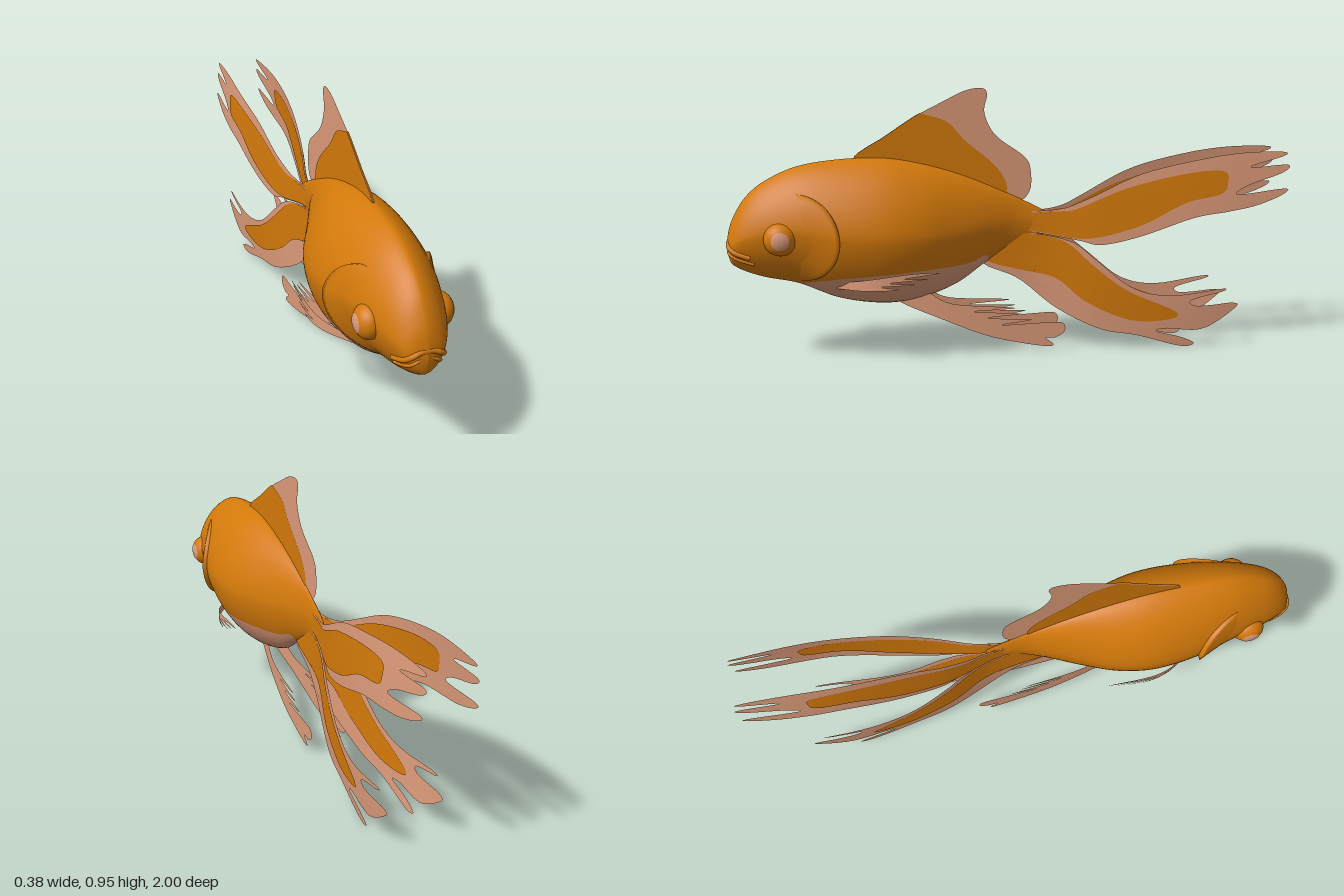
import * as THREE from 'three';

const orange = new THREE.MeshStandardMaterial({ color: 0xd3790a, side: THREE.DoubleSide });
orange.name = 'orange';
const salmon = new THREE.MeshStandardMaterial({ color: 0xdc9a79, side: THREE.DoubleSide });
salmon.name = 'salmon';

// Body stations: z, top, bottom, half width
const BODY = [
  [-0.13, 0.5, 0.44, 0.004], [-0.1, 0.52, 0.42, 0.01], [0, 0.57, 0.39, 0.022],
  [0.1, 0.615, 0.328, 0.058], [0.2, 0.655, 0.258, 0.1], [0.33, 0.693, 0.21, 0.154],
  [0.46, 0.715, 0.196, 0.179], [0.62, 0.712, 0.222, 0.17], [0.76, 0.69, 0.28, 0.14],
  [0.87, 0.64, 0.305, 0.112], [0.93, 0.59, 0.325, 0.09], [0.97, 0.53, 0.345, 0.068],
  [0.99, 0.48, 0.365, 0.042], [1, 0.43, 0.41, 0],
];
// Height of the colour border along the belly: z, y
const BORDER = [[0.06, 0.33], [0.1, 0.365], [0.13, 0.35], [0.19, 0.338], [0.35, 0.335], [0.62, 0.315], [0.76, 0.285]];

// Smooth interpolation of one table column at z
function sample(table, col, z) {
  const n = table.length;
  let i = 0;
  while (i < n - 2 && z > table[i + 1][0]) i++;
  const slope = (k) => {
    const a = table[Math.max(k - 1, 0)], b = table[Math.min(k + 1, n - 1)];
    return (b[col] - a[col]) / (b[0] - a[0]);
  };
  const h = table[i + 1][0] - table[i][0];
  const t = THREE.MathUtils.clamp((z - table[i][0]) / h, 0, 1), t2 = t * t, t3 = t2 * t;
  return (2 * t3 - 3 * t2 + 1) * table[i][col] + (t3 - 2 * t2 + t) * h * slope(i)
    + (3 * t2 - 2 * t3) * table[i + 1][col] + (t3 - t2) * h * slope(i + 1);
}

const N_TOP = 1.6, N_LOW = 1.7; // roundness of the section above and below
function section(z) {
  const top = sample(BODY, 1, z), low = sample(BODY, 2, z), w = Math.max(0, sample(BODY, 3, z));
  return { top, low, w, mid: low + 0.5 * (top - low) };
}
// Half width of the body at a height and station
function sideX(y, z) {
  const s = section(z), up = y > s.mid, n = up ? N_TOP : N_LOW;
  const t = Math.min(1, Math.abs(y - s.mid) / (up ? s.top - s.mid : s.mid - s.low));
  return s.w * Math.pow(1 - Math.pow(t, n), 1 / n);
}
// Front surface of the snout at (x, y)
function snoutZ(x, y) {
  let back = 0.8, front = 1;
  for (let i = 0; i < 24; i++) {
    const m = (back + front) / 2;
    if (sideX(y, m) > Math.abs(x)) back = m; else front = m;
  }
  return back;
}

function makeGeometry(positions, index) {
  const g = new THREE.BufferGeometry();
  g.setAttribute('position', new THREE.Float32BufferAttribute(positions, 3));
  g.setIndex(index);
  g.computeVertexNormals();
  return g;
}

function addMesh(parent, name, geometry, material) {
  const m = new THREE.Mesh(geometry, material);
  m.name = name;
  parent.add(m);
  return m;
}

// Body: rings along z, with ring columns aligned to the belly colour border
function bodyGeometry() {
  const rows = 72, low = 8, up = 40, cols = up + 2 * low, pos = [], parts = [[], []];
  const zAt = (r) => -0.13 + 1.13 * Math.sin((r / rows) * Math.PI / 2);
  for (let r = 0; r <= rows; r++) {
    const z = zAt(r), s = section(z);
    const k = THREE.MathUtils.clamp((s.mid - sample(BORDER, 1, z)) / (s.mid - s.low), 0.1, 0.98);
    const edge = -Math.asin(Math.pow(k, N_LOW / 2)), h = Math.PI / 2;
    for (let c = 0; c < cols; c++) {
      let a;
      if (c < low) a = -h + (edge + h) * c / low;
      else if (c <= low + up) a = edge + (Math.PI - 2 * edge) * (c - low) / up;
      else a = Math.PI - edge + (edge + h) * (c - low - up) / low;
      const si = Math.sin(a), co = Math.cos(a), p = 2 / (si > 0 ? N_TOP : N_LOW);
      const y = s.mid + Math.sign(si) * Math.pow(Math.abs(si), p) * (si > 0 ? s.top - s.mid : s.mid - s.low);
      pos.push(Math.sign(co) * s.w * Math.pow(Math.abs(co), p), y, z);
    }
  }
  for (let r = 0; r < rows; r++) for (let c = 0; c < cols; c++) {
    const d = (c + 1) % cols, a = r * cols + c, b = r * cols + d, z = zAt(r);
    const belly = (c < low || c >= low + up) && z > 0.07 && z < 0.73;
    parts[belly ? 1 : 0].push(a, b, a + cols, b, b + cols, a + cols);
  }
  const g = makeGeometry(pos, parts[0].concat(parts[1]));
  g.addGroup(0, parts[0].length, 0);
  g.addGroup(parts[0].length, parts[1].length, 1);
  return g;
}

// Thin sheet: smooth outline, split into small triangles, then bent by place(u, v)
function sheet(points, place, limit = 0.06) {
  const curve = new THREE.SplineCurve(points.map((p) => new THREE.Vector2(...p)));
  const flat = new THREE.ShapeGeometry(new THREE.Shape(curve.getPoints(points.length * 5)));
  const src = flat.attributes.position, pos = [], index = [], seen = new Map();
  const id = (p) => {
    const key = p.x.toFixed(5) + ',' + p.y.toFixed(5);
    if (!seen.has(key)) {
      seen.set(key, pos.length / 3);
      pos.push(...place(p.x, p.y));
    }
    return seen.get(key);
  };
  const split = (a, b, c) => {
    const ab = a.distanceTo(b), bc = b.distanceTo(c), ca = c.distanceTo(a);
    if (bc > ab && bc >= ca) return split(b, c, a);
    if (ca > ab && ca > bc) return split(c, a, b);
    if (ab < limit) return index.push(id(a), id(b), id(c));
    const m = a.clone().add(b).multiplyScalar(0.5);
    split(a, m, c);
    return split(m, b, c);
  };
  const at = (i) => new THREE.Vector2(src.getX(flat.index.array[i]), src.getY(flat.index.array[i]));
  for (let i = 0; i < flat.index.count; i += 3) split(at(i), at(i + 1), at(i + 2));
  return makeGeometry(pos, index);
}

// Fin outlines as [z, y]
const DORSAL = [[0.5, 0.66], [0.56, 0.715], [0.45, 0.788], [0.39, 0.828], [0.335, 0.862], [0.25, 0.905], [0.17, 0.943],
  [0.11, 0.952], [0.09, 0.93], [0.1, 0.865], [0.06, 0.785], [-0.04, 0.71], [-0.065, 0.66], [-0.06, 0.58], [0, 0.55], [0.2, 0.6]];
const DORSAL_PATCH = [[0.5, 0.66], [0.56, 0.715], [0.45, 0.789], [0.39, 0.829], [0.335, 0.863], [0.315, 0.864],
  [0.23, 0.835], [0.17, 0.77], [0.06, 0.675], [0.02, 0.6], [0.05, 0.56], [0.2, 0.6]];
const UPPER_TAIL = [[-0.05, 0.51], [-0.17, 0.52], [-0.26, 0.555], [-0.45, 0.645], [-0.665, 0.695], [-0.825, 0.715],
  [-0.975, 0.715], [-0.98, 0.7], [-0.865, 0.67], [-0.87, 0.662], [-0.995, 0.668], [-0.975, 0.64], [-0.85, 0.6],
  [-0.8, 0.573], [-0.83, 0.567], [-0.985, 0.582], [-0.975, 0.56], [-0.88, 0.525], [-0.77, 0.505], [-0.64, 0.485],
  [-0.45, 0.42], [-0.315, 0.39], [-0.235, 0.405], [-0.1, 0.43], [-0.05, 0.44]];
const UPPER_PATCH = [[-0.05, 0.505], [-0.17, 0.512], [-0.225, 0.52], [-0.4, 0.595], [-0.61, 0.645], [-0.75, 0.652],
  [-0.765, 0.61], [-0.74, 0.57], [-0.61, 0.54], [-0.45, 0.46], [-0.26, 0.412], [-0.1, 0.435], [-0.05, 0.44]];
const LOWER_TAIL = [[0.09, 0.36], [0.1, 0.32], [-0.02, 0.265], [-0.155, 0.155], [-0.315, 0.075], [-0.45, 0.05],
  [-0.61, 0.005], [-0.66, 0.015], [-0.61, 0.04], [-0.52, 0.065], [-0.56, 0.075], [-0.69, 0.07], [-0.81, 0.145],
  [-0.8, 0.165], [-0.72, 0.16], [-0.655, 0.16], [-0.645, 0.182], [-0.76, 0.21], [-0.75, 0.22], [-0.56, 0.2],
  [-0.42, 0.235], [-0.29, 0.34], [-0.21, 0.4], [-0.08, 0.43], [0, 0.43]];
const LOWER_PATCH = [[0.09, 0.37], [0.09, 0.333], [-0.02, 0.3], [-0.155, 0.265], [-0.26, 0.18], [-0.42, 0.11],
  [-0.56, 0.11], [-0.585, 0.14], [-0.41, 0.22], [-0.29, 0.31], [-0.19, 0.398], [-0.08, 0.428], [0, 0.43]];
const PELVIC = [[0.4, 0.22], [0.4, 0.195], [0.25, 0.13], [0.085, 0.065], [-0.1, 0.025], [-0.14, 0.03], [-0.11, 0.055],
  [-0.145, 0.055], [-0.18, 0.078], [-0.17, 0.11], [-0.1, 0.112], [0.05, 0.108], [-0.06, 0.125], [0.1, 0.135],
  [-0.02, 0.148], [0.15, 0.16], [0, 0.17], [0.22, 0.19], [0.3, 0.23]];
const PECTORAL = [[0.63, 0.295], [0.5, 0.322], [0.38, 0.338], [0.28, 0.337], [0.4, 0.322], [0.32, 0.318], [0.45, 0.308],
  [0.36, 0.3], [0.48, 0.295], [0.42, 0.285], [0.52, 0.278], [0.63, 0.275]];
// Sideways position of the paired fins: z, x
const TAIL_X = [[-1, 0.093], [-0.66, 0.099], [-0.32, 0.06], [-0.1, 0.013], [0.1, 0.004]];
const PELVIC_X = [[-0.18, 0.068], [0.1, 0.055], [0.25, 0.042], [0.4, 0.02]];
const PECTORAL_X = [[0.28, 0.178], [0.44, 0.177], [0.53, 0.155], [0.63, 0.09]];

export function createModel() {
  const fish = new THREE.Group();
  fish.name = 'fish';
  addMesh(fish, 'body', bodyGeometry(), [orange, salmon]);

  // Dorsal fin with its coloured patch on both faces
  addMesh(fish, 'dorsalFin', sheet(DORSAL, (z, y) => [0, y, z]), salmon);
  for (const d of [-0.003, 0.003]) addMesh(fish, 'dorsalFinPatch', sheet(DORSAL_PATCH, (z, y) => [d, y, z]), orange);

  // Arched lips following the snout
  for (const [name, height, width, r] of [['upperLip', 0.437, 0.076, 0.009], ['lowerLip', 0.413, 0.066, 0.006]]) {
    const path = [];
    for (let i = -6; i <= 6; i++) {
      const x = width * i / 6, y = height - 0.048 * Math.pow(Math.abs(i / 6), 2.4);
      path.push(new THREE.Vector3(x, y, Math.min(snoutZ(x, y), 0.991)));
    }
    addMesh(fish, name, new THREE.TubeGeometry(new THREE.CatmullRomCurve3(path), 48, r, 10), orange);
  }

  for (const s of [1, -1]) {
    const side = new THREE.Group();
    side.name = s > 0 ? 'leftSide' : 'rightSide';
    fish.add(side);

    // Flattened eye with a pale pupil
    for (const [name, r, arc, mat] of [['eye', 0.057, Math.PI, orange], ['pupil', 0.058, 0.56, salmon]]) {
      const m = addMesh(side, name, new THREE.SphereGeometry(r, 28, 18, 0, Math.PI * 2, 0, arc), mat);
      m.position.set(s * 0.113, 0.46, 0.813);
      m.rotation.z = -s * Math.PI / 2;
      m.scale.y = 0.82;
    }

    // Gill cover: half disc lifting off the body towards its rear rim
    const pos = [], index = [], rings = 10, steps = 28;
    for (let i = 0; i <= rings + 1; i++) for (let j = 0; j <= steps; j++) {
      const a = (j / steps - 0.5) * Math.PI, r = Math.min(1, i / rings);
      const z = 0.76 - 0.145 * r * Math.cos(a), y = 0.455 + 0.155 * r * Math.sin(a);
      const lift = i > rings ? -0.02 : -0.003 + 0.021 * r * r * Math.sqrt(Math.max(0, Math.cos(a)));
      pos.push(s * (sideX(y, z) + lift), y, z);
      if (i <= rings && j < steps) {
        const k = i * (steps + 1) + j, n = k + steps + 1;
        index.push(...(s > 0 ? [k, n, k + 1, k + 1, n, n + 1] : [k, k + 1, n, k + 1, n + 1, n]));
      }
    }
    addMesh(side, 'gillCover', makeGeometry(pos, index), orange);

    // Tail lobes, cupped inwards at their edges, each with a patch on both faces
    const bend = (d) => (z, y) => [s * sample(TAIL_X, 1, z) * (1.05 - 1.5 * (y - 0.36) ** 2) + d, y, z];
    for (const [name, fin, patch] of [['upperTail', UPPER_TAIL, UPPER_PATCH], ['lowerTail', LOWER_TAIL, LOWER_PATCH]]) {
      addMesh(side, name, sheet(fin, bend(0)), salmon);
      for (const d of [-0.003, 0.003]) addMesh(side, name + 'Patch', sheet(patch, bend(d)), orange);
    }

    // Paired fins below the body
    addMesh(side, 'pelvicFin', sheet(PELVIC, (z, y) => [s * sample(PELVIC_X, 1, z), y, z]), salmon);
    addMesh(side, 'pectoralFin', sheet(PECTORAL, (z, y) => [s * sample(PECTORAL_X, 1, z), y, z], 0.03), salmon);
  }
  return fish;
}
